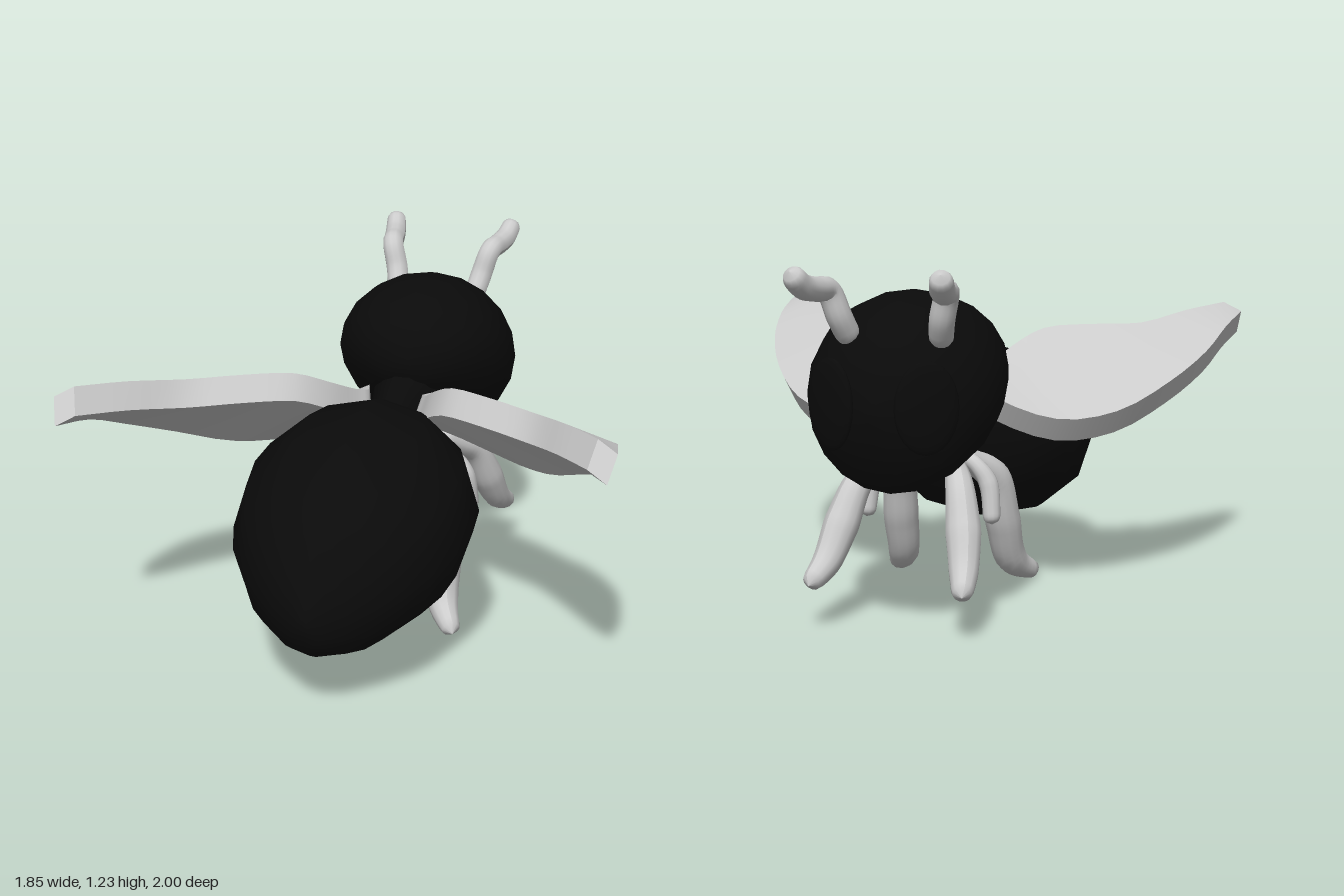
import * as THREE from 'three';
import { toCreasedNormals } from 'three/addons/utils/BufferGeometryUtils.js';

const black = new THREE.MeshStandardMaterial({ color: 0x0a0a0a });
const grey = new THREE.MeshStandardMaterial({ color: 0xcccccc });

// Skin over a list of closed rings of [x, y, z] points, with both ends capped
function loft(rings, flip = false) {
  const n = rings[0].length, index = [];
  const tri = (a, b, c) => (flip ? index.push(a, c, b) : index.push(a, b, c));
  for (let i = 0; i < rings.length - 1; i++) {
    for (let j = 0; j < n; j++) {
      const a = i * n + j, b = i * n + ((j + 1) % n);
      tri(a, a + n, b + n);
      tri(a, b + n, b);
    }
  }
  const last = (rings.length - 1) * n;
  for (let j = 1; j < n - 1; j++) {
    tri(0, j, j + 1);
    tri(last, last + j + 1, last + j);
  }
  const geo = new THREE.BufferGeometry();
  geo.setAttribute('position', new THREE.Float32BufferAttribute(rings.flat(2), 3));
  geo.setIndex(index);
  geo.computeVertexNormals();
  return geo;
}

// Rounded body from sections [z, bottom, top, halfWidth], rear (+z) first
function bodyGeometry(sections, sides) {
  return loft(sections.map(([z, bottom, top, w]) =>
    Array.from({ length: sides }, (_, j) => {
      const a = (j / sides) * Math.PI * 2;
      return [w * Math.cos(a), (top + bottom) / 2 + ((top - bottom) / 2) * Math.sin(a), z];
    })));
}

// Round-ended tube through points [x, y, z, radius]
function limbGeometry(points, side, shift) {
  const curve = new THREE.CatmullRomCurve3(
    points.map(([x, y, z]) => new THREE.Vector3(side * x + shift, y, z)));
  const steps = 32, radial = 12, length = curve.getLength();
  const geo = new THREE.TubeGeometry(curve, steps, 1, radial);
  const pos = geo.attributes.position, v = new THREE.Vector3();
  for (let i = 0; i < pos.count; i++) {
    const t = Math.floor(i / (radial + 1)) / steps;
    const u = curve.getUtoTmapping(t) * (points.length - 1);
    const k = Math.min(Math.floor(u), points.length - 2);
    const r = THREE.MathUtils.lerp(points[k][3], points[k + 1][3], u - k);
    const d = Math.min(1, (Math.min(t, 1 - t) * length) / r);
    const c = curve.getPointAt(t);
    v.fromBufferAttribute(pos, i).sub(c).multiplyScalar(r * Math.sqrt(d * (2 - d))).add(c);
    pos.setXYZ(i, v.x, v.y, v.z);
  }
  geo.computeVertexNormals();
  return geo;
}

// Slab wing between smooth outer and inner edges, root to tip
function wingGeometry(side) {
  const edge = (points) =>
    new THREE.CatmullRomCurve3(points.map((p) => new THREE.Vector3(...p)));
  const outer = edge([
    [0.13, 0.78, -0.15], [0.22, 0.73, -0.175], [0.42, 0.66, -0.12], [0.60, 0.675, 0.02],
    [0.75, 0.76, 0.20], [0.85, 0.85, 0.40], [0.895, 0.925, 0.58], [0.925, 0.965, 0.77],
  ]);
  const inner = edge([
    [0.10, 0.80, -0.04], [0.13, 0.82, 0.02], [0.19, 0.88, 0.14], [0.28, 0.935, 0.24],
    [0.43, 0.945, 0.33], [0.60, 0.945, 0.43], [0.74, 0.98, 0.60], [0.86, 1.0, 0.75],
  ]);
  const down = (p, t) => [p.x - 0.02 * t, p.y - 0.08 * t, p.z + 0.045 * t];
  const rings = [], steps = 21;
  for (let k = 0; k <= steps; k++) {
    const o = outer.getPoint(k / steps), i = inner.getPoint(k / steps);
    rings.push([down(o, 0), down(i, 0), down(i, 1.05), down(o, 1.05)]
      .map(([x, y, z]) => [side * x, y, z]));
  }
  return toCreasedNormals(loft(rings, side > 0), 0.7);
}

export function createModel() {
  const model = new THREE.Group();
  const add = (name, geo, mat) => {
    const mesh = new THREE.Mesh(geo, mat);
    mesh.name = name;
    model.add(mesh);
    return mesh;
  };

  // Body
  add('abdomen', bodyGeometry([
    [1.0, 0.34, 0.40, 0.015], [0.98, 0.285, 0.46, 0.06], [0.94, 0.24, 0.53, 0.13],
    [0.88, 0.205, 0.61, 0.205], [0.8, 0.178, 0.69, 0.28], [0.7, 0.165, 0.755, 0.345],
    [0.58, 0.163, 0.81, 0.39], [0.45, 0.175, 0.85, 0.41], [0.32, 0.205, 0.865, 0.4],
    [0.2, 0.25, 0.855, 0.35], [0.1, 0.30, 0.82, 0.27], [0.03, 0.37, 0.78, 0.17],
    [-0.02, 0.45, 0.74, 0.1], [-0.05, 0.55, 0.65, 0.01],
  ], 12), black);
  add('thorax', bodyGeometry([
    [0.1, 0.45, 0.72, 0.05], [0.04, 0.41, 0.78, 0.09], [-0.03, 0.46, 0.80, 0.1],
    [-0.12, 0.48, 0.83, 0.115], [-0.2, 0.51, 0.85, 0.14], [-0.28, 0.56, 0.84, 0.13],
    [-0.34, 0.62, 0.8, 0.06],
  ], 14), black);
  add('head', bodyGeometry([
    [-0.12, 0.85, 0.91, 0.03], [-0.135, 0.805, 0.97, 0.1], [-0.17, 0.76, 1.02, 0.17],
    [-0.24, 0.7, 1.075, 0.245], [-0.33, 0.625, 1.11, 0.3], [-0.42, 0.555, 1.125, 0.325],
    [-0.51, 0.505, 1.12, 0.33], [-0.6, 0.485, 1.095, 0.315], [-0.68, 0.482, 1.055, 0.28],
    [-0.74, 0.5, 1.01, 0.235], [-0.79, 0.58, 0.95, 0.175], [-0.82, 0.65, 0.88, 0.105],
    [-0.835, 0.73, 0.8, 0.03],
  ], 20), black);

  // Legs and antennae: sideways shift and points [x, y, z, radius]
  const limbs = {
    frontLeg: [0.02, [[0.08, 0.57, -0.28, 0.038], [0.14, 0.51, -0.35, 0.04],
      [0.18, 0.46, -0.43, 0.05], [0.215, 0.33, -0.505, 0.062], [0.24, 0.215, -0.585, 0.05],
      [0.265, 0.155, -0.69, 0.032]]],
    middleLeg: [0.01, [[0.1, 0.54, -0.2, 0.025], [0.17, 0.5, -0.22, 0.027],
      [0.21, 0.44, -0.22, 0.034], [0.23, 0.3, -0.24, 0.03]]],
    rearLeg: [0.02, [[0.07, 0.53, -0.16, 0.038], [0.12, 0.485, -0.08, 0.045],
      [0.175, 0.42, 0.005, 0.06], [0.195, 0.25, 0.065, 0.066], [0.21, 0.09, 0.14, 0.058],
      [0.275, 0.018, 0.25, 0.03]]],
    antenna: [-0.03, [[0.15, 0.975, -0.70, 0.04], [0.17, 1.06, -0.755, 0.042],
      [0.195, 1.145, -0.785, 0.04], [0.21, 1.155, -0.86, 0.04], [0.225, 1.17, -0.93, 0.04],
      [0.24, 1.22, -0.995, 0.036]]],
  };

  for (const side of [1, -1]) {
    const label = side > 0 ? 'left' : 'right';
    add(`${label} wing`, wingGeometry(side), grey);
    for (const [name, [shift, points]] of Object.entries(limbs)) {
      add(`${label} ${name}`, limbGeometry(points, side, shift), grey);
    }
    // Flat oval eye set into the face
    const eye = add(`${label} eye`, new THREE.SphereGeometry(1, 20, 12), black);
    eye.scale.set(0.105, 0.15, 0.025);
    eye.position.set(side * 0.16, 0.785, -0.79);
    eye.rotation.y = -side * 0.5;
  }
  return model;
}
